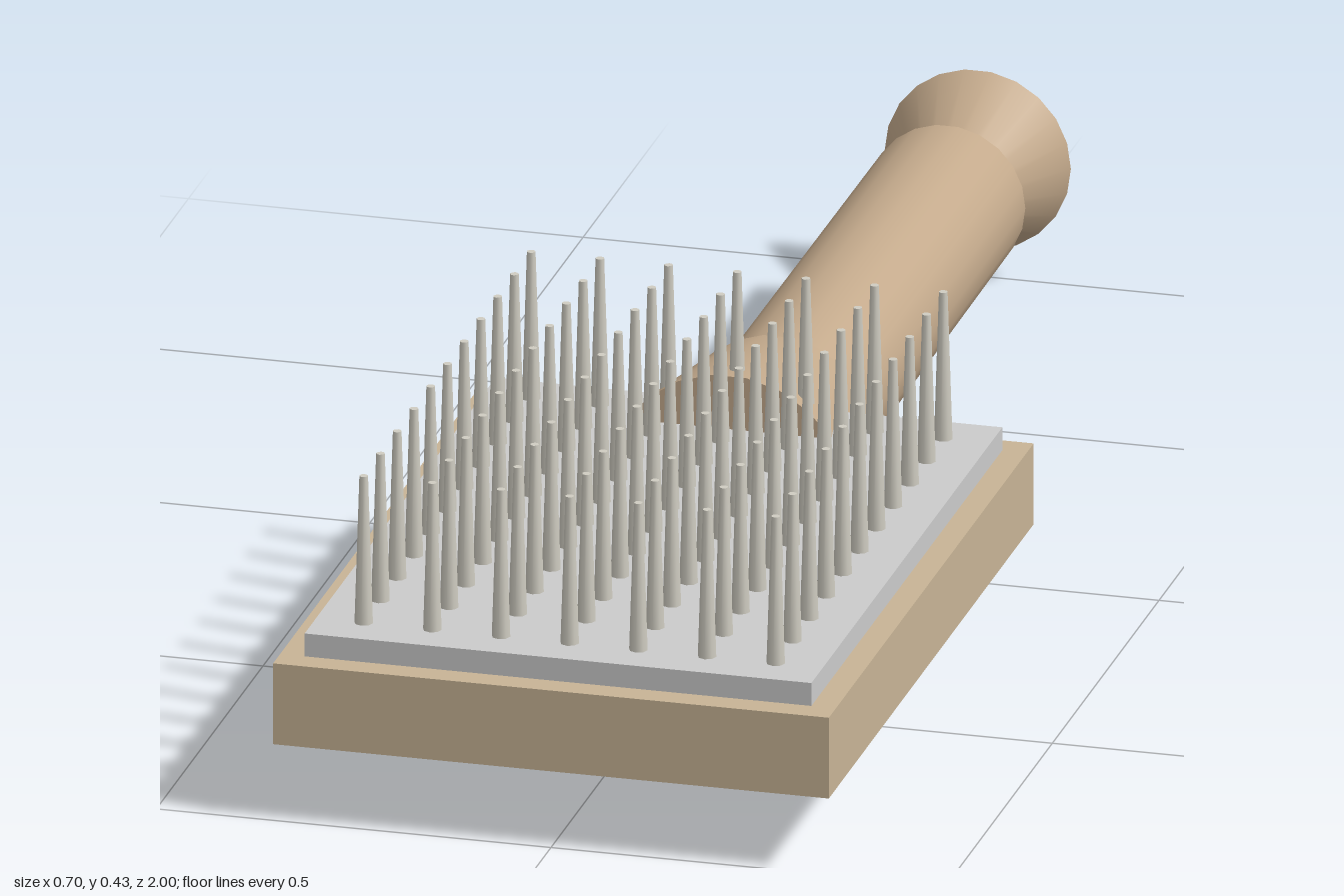
import * as THREE from 'three';

const wood = new THREE.MeshStandardMaterial({ color: 0xc8b496 });
const handleWood = new THREE.MeshStandardMaterial({ color: 0xc4aa8c });
const pale = new THREE.MeshStandardMaterial({ color: 0xd8d8d4 });
const metal = new THREE.MeshStandardMaterial({ color: 0xd0cdc2 });

const AXIS_Y = 0.1525;

// Box given by its extents in y and z, centred on x
function slab(name, width, y0, y1, z0, z1, material) {
  const mesh = new THREE.Mesh(new THREE.BoxGeometry(width, y1 - y0, z1 - z0), material);
  mesh.position.set(0, (y0 + y1) / 2, (z0 + z1) / 2);
  mesh.name = name;
  return mesh;
}

// Round tapered part lying along z, from back (z0, r0) to front (z1, r1)
function turned(name, z0, r0, z1, r1) {
  const geometry = new THREE.CylinderGeometry(r1, r0, z1 - z0, 22, 1, false, Math.PI / 2);
  geometry.rotateX(Math.PI / 2);
  const mesh = new THREE.Mesh(geometry, handleWood);
  mesh.position.set(0, AXIS_Y, (z0 + z1) / 2);
  mesh.name = name;
  return mesh;
}

export function createModel() {
  const model = new THREE.Group();
  model.name = 'pinBrush';

  // Wooden board and the pad set on it
  model.add(slab('board', 0.704, 0.1, 0.206, 0.04, 1, wood));
  model.add(slab('pad', 0.642, 0.204, 0.236, 0.072, 0.967, pale));

  // Collar, handle and flared end
  model.add(turned('collar', -0.06, 0.122, 0.165, 0.154));
  model.add(turned('handle', -0.857, 0.099, -0.03, 0.102));
  model.add(turned('flaredEnd', -1, 0.118, -0.855, 0.042));

  // Grid of tapered pins
  const pins = new THREE.Group();
  pins.name = 'pins';
  const pinGeometry = new THREE.CylinderGeometry(0.0055, 0.0118, 0.195, 8);
  for (let row = 0; row < 11; row++) {
    for (let col = 0; col < 7; col++) {
      const pin = new THREE.Mesh(pinGeometry, metal);
      pin.name = 'pin';
      pin.position.set((col - 3) * 0.087, 0.331, 0.127 + row * 0.0785);
      pins.add(pin);
    }
  }
  model.add(pins);
  return model;
}
